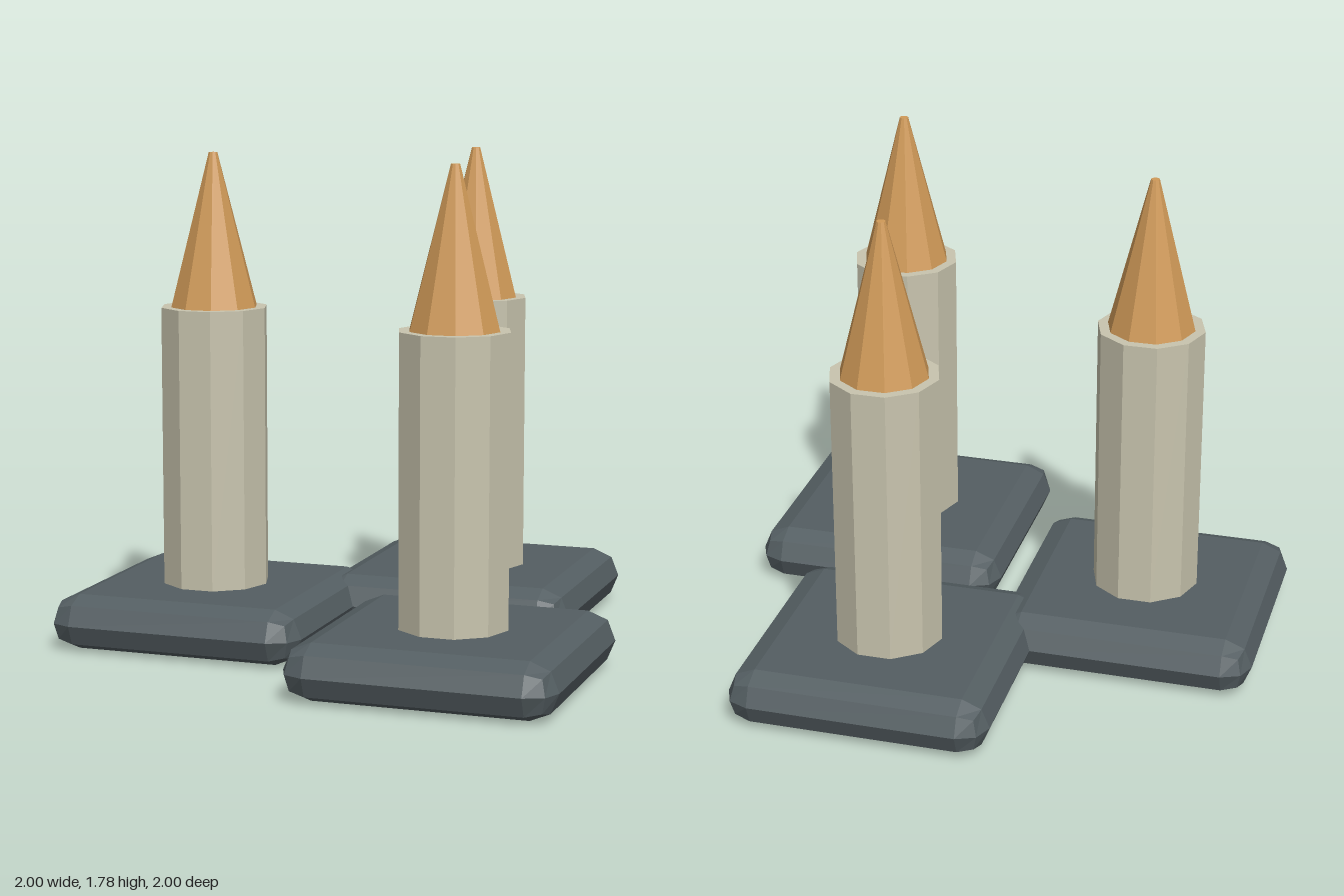
import * as THREE from 'three';
import { RoundedBoxGeometry } from 'three/addons/geometries/RoundedBoxGeometry.js';

const SIDES = 10;

export function createModel() {
  const model = new THREE.Group();
  model.name = 'pillarCluster';

  const slate = new THREE.MeshStandardMaterial({ color: 0x545e62, flatShading: true });
  const stone = new THREE.MeshStandardMaterial({ color: 0xc8c4ae, flatShading: true });
  const bronze = new THREE.MeshStandardMaterial({ color: 0xd09a58, flatShading: true });

  // Shared shapes: bevelled slab, ten-sided shaft, tapering point
  const slabGeo = new RoundedBoxGeometry(0.957, 0.2, 0.957, 1, 0.1);
  const shaftGeo = new THREE.CylinderGeometry(0.197, 0.197, 1.02, SIDES).rotateY(Math.PI / 2);
  const tipGeo = new THREE.CylinderGeometry(0.016, 0.16, 0.56, SIDES).rotateY(Math.PI / 2);

  const addPart = (group, name, geometry, material, y) => {
    const mesh = new THREE.Mesh(geometry, material);
    mesh.name = name;
    mesh.position.y = y;
    group.add(mesh);
  };

  // Three identical pillars, each on its own slab
  const spots = [
    ['backPillar', 0.278, -0.522],
    ['rightPillar', -0.522, 0.116],
    ['frontPillar', 0.521, 0.521],
  ];
  for (const [name, x, z] of spots) {
    const pillar = new THREE.Group();
    pillar.name = name;
    pillar.position.set(x, 0, z);
    addPart(pillar, 'baseSlab', slabGeo, slate, 0.1);
    addPart(pillar, 'shaft', shaftGeo, stone, 0.71);
    addPart(pillar, 'pointedTip', tipGeo, bronze, 1.5);
    model.add(pillar);
  }
  return model;
}
